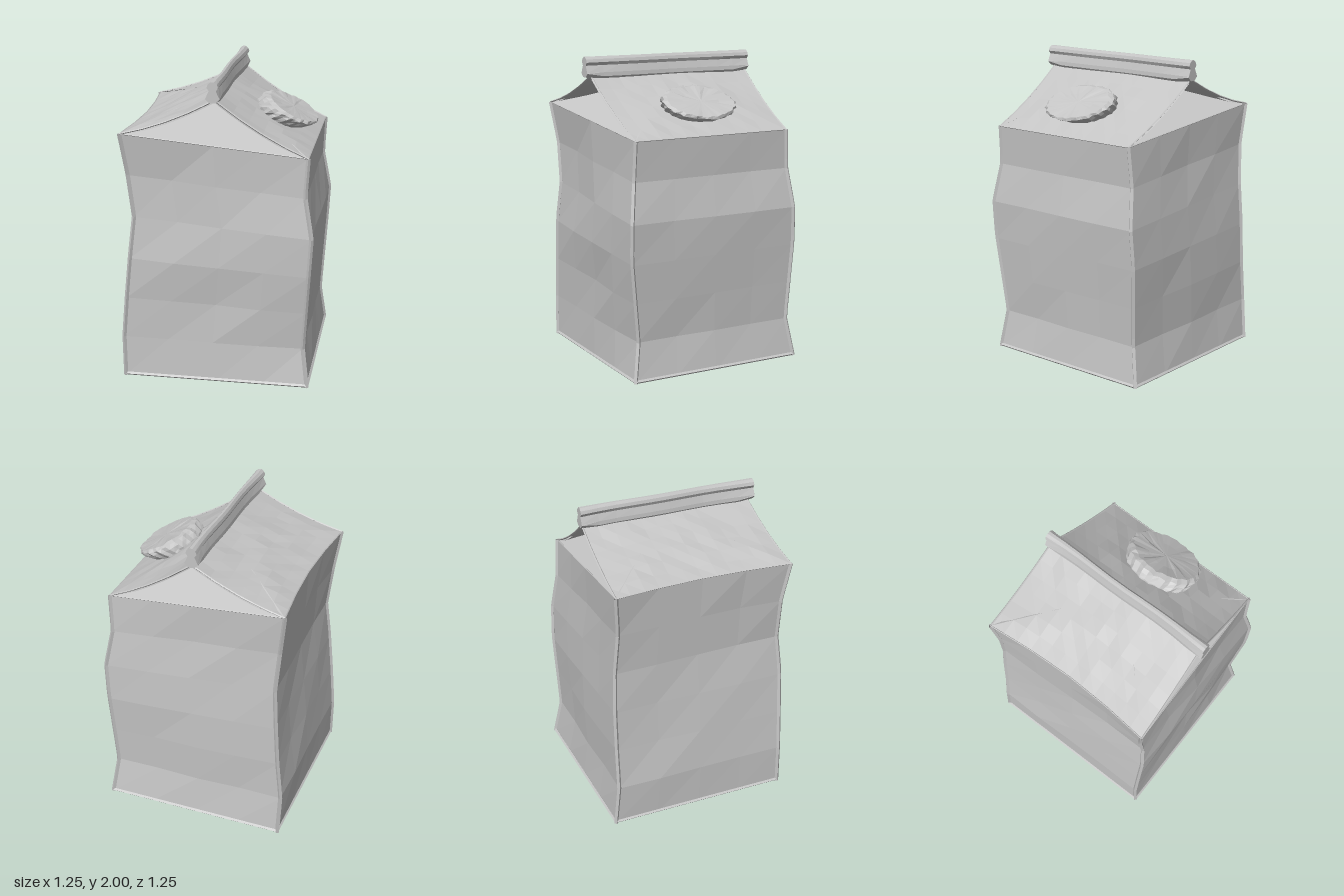
import * as THREE from 'three';

const { lerp } = THREE.MathUtils;
const paper = new THREE.MeshStandardMaterial({ color: 0xc4c4c4 });
paper.name = 'grey card';
paper.flatShading = true;
paper.side = THREE.DoubleSide;

// repeatable value in -1..1 for crumpling
const noise = (i, j, k) => {
  const s = Math.sin(i * 12.99 + j * 78.23 + k * 37.72) * 43758.55;
  return (s - Math.floor(s)) * 2 - 1;
};

// profile lookup: pairs of [height fraction, offset]
function along(profile, t) {
  for (let i = 1; i < profile.length; i++) {
    const [a, p] = profile[i - 1], [b, q] = profile[i];
    if (t <= b) return lerp(p, q, (t - a) / (b - a));
  }
  return profile[profile.length - 1][1];
}

// x and z profiles of the four upright corners
const leftX = [[0, 0.6], [0.17, 0.565], [0.52, 0.6], [0.67, 0.613], [0.84, 0.565], [1, 0.58]];
const corners = {
  leftFront: { x: leftX, z: [[0, 0.575], [0.17, 0.535], [0.52, 0.595], [0.67, 0.597], [0.84, 0.56], [1, 0.555]] },
  leftBack: { x: leftX, z: [[0, -0.61], [0.17, -0.565], [0.52, -0.59], [0.67, -0.58], [0.84, -0.55], [1, -0.535]] },
  rightFront: {
    x: [[0, -0.6], [0.17, -0.605], [0.34, -0.58], [0.67, -0.523], [0.85, -0.56], [1, -0.595]],
    z: [[0, 0.578], [0.17, 0.575], [0.52, 0.585], [0.67, 0.565], [0.84, 0.565], [1, 0.603]],
  },
  rightBack: {
    x: [[0, -0.6], [0.17, -0.608], [0.34, -0.58], [0.67, -0.548], [0.85, -0.57], [1, -0.6]],
    z: [[0, -0.612], [0.17, -0.588], [0.52, -0.588], [0.67, -0.578], [0.84, -0.56], [1, -0.58]],
  },
};
const RIDGE = 1.87;

function corner(sx, sz, t) {
  const c = corners[(sx > 0 ? 'left' : 'right') + (sz > 0 ? 'Front' : 'Back')];
  return new THREE.Vector3(along(c.x, t), t * (sx > 0 ? 1.53 : 1.65), along(c.z, t));
}

// level line between two corners; the right side is pushed in towards its eave
function across(a, b, u, t) {
  const p = corner(...a, t).lerp(corner(...b, t), u);
  if (a[0] < 0 && b[0] < 0) p.x += 0.04 * Math.sin(Math.PI * u) * t ** 4;
  return p;
}

// faceted sheet from a point rule over u and v
function sheet(name, rule, nu, nv) {
  const pos = [];
  for (let i = 0; i < nu; i++) for (let j = 0; j < nv; j++) {
    const q = [[0, 0], [1, 0], [1, 1], [0, 0], [1, 1], [0, 1]];
    for (const [a, b] of q) pos.push(...rule((i + a) / nu, (j + b) / nv, i + a, j + b).toArray());
  }
  const g = new THREE.BufferGeometry();
  g.setAttribute('position', new THREE.Float32BufferAttribute(pos, 3));
  g.computeVertexNormals();
  const m = new THREE.Mesh(g, paper);
  m.name = name;
  return m;
}

// raised seam following a list of points
function seam(name, points, radius) {
  const path = new THREE.CurvePath();
  for (let i = 1; i < points.length; i++) path.add(new THREE.LineCurve3(points[i - 1], points[i]));
  const m = new THREE.Mesh(new THREE.TubeGeometry(path, (points.length - 1) * 4, radius, 4), paper);
  m.name = name;
  return m;
}

// crumpled wall between two corners
function wall(name, a, b, normal, seed, rough) {
  return sheet(name, (u, v, i, j) => {
    const inner = u > 0 && u < 1 && v > 0 && v < 1 ? 1 : 0;
    return across(a, b, u, v).addScaledVector(normal, inner * rough * noise(i, j, seed));
  }, 4, 6);
}

// roof point: u from eave to ridge, v from back to front; the end wedges sag past the diagonal creases
function roofPoint(sx, u, v) {
  const ridge = new THREE.Vector3(0.015 * sx, RIDGE, lerp(-0.565, 0.58, v));
  const p = across([sx, -1], [sx, 1], v, 1).lerp(ridge, u);
  p.y -= 0.1 * Math.max(0, Math.abs(2 * v - 1) - 1 + u) * (1 - u);
  return p;
}

// bottle cap: rough lid leaning down the slope, with a scalloped rim
function makeCap() {
  const rings = [[0.2, -0.005], [0.217, 0.02], [0.23, 0.05], [0.235, 0.075], [0.215, 0.09], [0.12, 0.088], [0, 0.088]];
  const n = 40;
  const cap = sheet('cap', (u, v, i, j) => {
    const k = i % n, a = (k / n) * Math.PI * 2, [r0, h] = rings[j];
    const r = r0 + (j < 5 ? 0.005 * noise(k, j, 9) + (k % 2 ? 0.005 : -0.005) : 0);
    const y = h + (j > 0 && j < 6 ? 0.004 * noise(k >> 1, j, 4) : 0);
    return new THREE.Vector3(Math.cos(a) * r * 0.81 + h * 0.72, y, -Math.sin(a) * r * 1.06);
  }, n, rings.length - 1);
  cap.position.set(0.325, 1.68, 0.01);
  cap.rotation.z = -0.485;
  return cap;
}

export function createModel() {
  const carton = new THREE.Group();
  carton.name = 'carton';

  // walls and base
  const X = new THREE.Vector3(1, 0, 0), Z = new THREE.Vector3(0, 0, 1);
  carton.add(
    wall('frontWall', [-1, 1], [1, 1], Z, 1, 0.012),
    wall('leftWall', [1, 1], [1, -1], X, 2, 0.005),
    wall('backWall', [1, -1], [-1, -1], Z, 3, 0.012),
    wall('rightWall', [-1, -1], [-1, 1], X, 5, 0.008),
    sheet('base', (u, v) => corner(-1, -1, 0).lerp(corner(1, -1, 0), u)
      .lerp(corner(-1, 1, 0).lerp(corner(1, 1, 0), u), v).setY(0.01), 1, 1));

  // roof panels, lightly crumpled, with the folded wings pressed beneath them
  for (const sx of [-1, 1]) {
    carton.add(sheet('roofPanel', (u, v, i, j) => {
      const w = sx > 0 ? u : 1 - u;
      const p = roofPoint(sx, w, v);
      if (u > 0 && u < 1 && v > 0 && v < 1) p.y += 0.007 * noise(i, j, 6 + sx);
      return p;
    }, 6, 12));
    for (const sz of [-1, 1]) {
      carton.add(sheet('foldedWing', (u, v) => {
        const p = roofPoint(sx, u, 0.5 + sz * 0.5 * (1 - u * v));
        p.y -= 0.016 * Math.min(1, 4 * u);
        return p;
      }, 6, 4));
    }
  }

  // gable ends folded inward beneath the roof
  for (const sz of [-1, 1]) {
    carton.add(sheet('foldedGable', (u, v) =>
      corner(-sz, sz, 1).lerp(corner(sz, sz, 1), u)
        .lerp(new THREE.Vector3(0, RIDGE - 0.015, sz * 0.02), v), 4, 4));
  }

  // seams along corners, base, eaves and roof ends
  const steps = [0, 0.17, 0.34, 0.52, 0.67, 0.84, 1];
  const quarters = [0, 0.25, 0.5, 0.75, 1];
  const ring = [[-1, -1], [1, -1], [1, 1], [-1, 1]];
  ring.forEach((here, i) => {
    const [sx, sz] = here, next = ring[(i + 1) % 4];
    carton.add(
      seam('cornerSeam', steps.map((t) => corner(sx, sz, t)), 0.014),
      seam('baseSeam', [0, 1].map((u) => across(here, next, u, 0).setY(0.011)), 0.011),
      seam('eaveSeam', quarters.map((u) => across(here, next, u, 1)), 0.004),
      seam('roofEdge', quarters.map((u) => roofPoint(sx, u, sz > 0 ? 1 : 0)), 0.006));
  });

  // pinched fin along the ridge, wider at both ends
  const half = [[0.02, 1.85], [0.045, 1.875], [0.042, 1.9], [0.022, 1.945], [0.036, 1.965], [0.028, 1.985], [0.01, 2]];
  const outline = [...half, ...half.map(([x, y]) => [-x, y]).reverse()];
  const fin = new THREE.Mesh(new THREE.ExtrudeGeometry(
    new THREE.Shape(outline.map(([x, y]) => new THREE.Vector2(x, y))),
    { depth: 1.2, steps: 10, bevelEnabled: false }), paper);
  fin.name = 'ridgeFin';
  fin.position.z = -0.58;
  const fp = fin.geometry.attributes.position;
  for (let i = 0; i < fp.count; i++) {
    const z = fp.getZ(i), end = Math.abs(z / 0.6 - 1);
    fp.setX(i, fp.getX(i) * (0.66 + 0.34 * end ** 3) + 0.004 * Math.sin(z * 9));
    // lower edge lifts off the roof where the ends overhang
    if (end > 0.99 && fp.getY(i) < 1.88) fp.setY(i, fp.getY(i) + 0.02);
  }
  fin.geometry.computeVertexNormals();
  carton.add(fin, makeCap());
  return carton;
}
